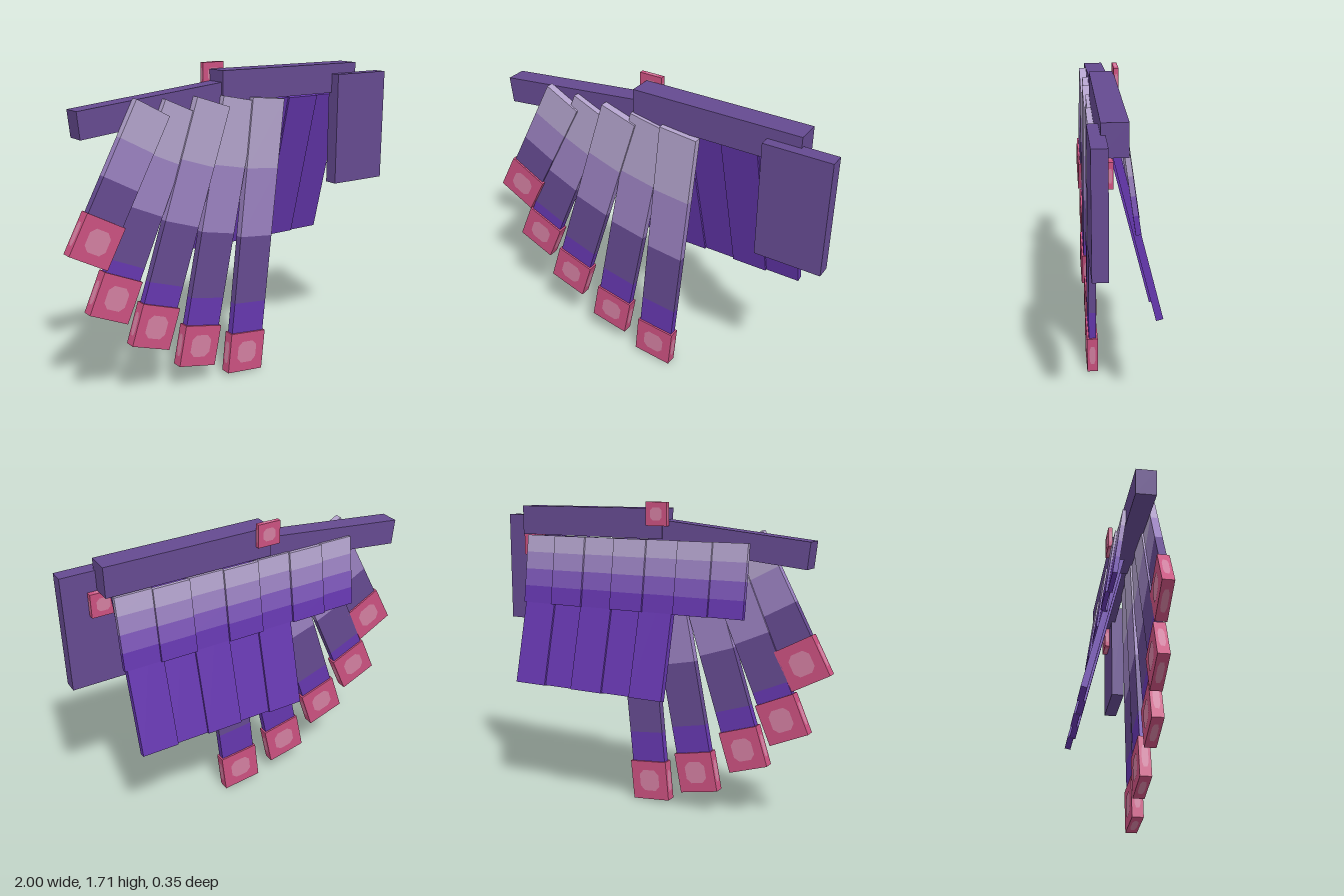
import * as THREE from 'three';

const mat = (name, color, extra = {}) => {
  const m = new THREE.MeshStandardMaterial({ color, ...extra });
  m.name = name;
  return m;
};

export function createModel() {
  const root = new THREE.Group();
  root.name = 'wing';
  const lilac = mat('pale lilac', 0xb2a2cb);
  const lavender = mat('lavender', 0x9a81c0);
  const plum = mat('plum', 0x654a90);
  const mid = mat('mid violet', 0x7d57b8);
  const violet = mat('violet', 0x6537ae);
  const pink = mat('pink', 0xcb5180);
  const rose = mat('pale rose', 0xd27fa0);

  const box = (parent, name, material, size, pos) => {
    const mesh = new THREE.Mesh(new THREE.BoxGeometry(...size), material);
    mesh.name = name;
    mesh.position.set(...pos);
    parent.add(mesh);
    return mesh;
  };

  // Unit octagon used as the pale patch on pink blocks
  const patchShape = new THREE.Shape(
    [[-0.5, -0.28], [-0.28, -0.5], [0.28, -0.5], [0.5, -0.28], [0.5, 0.28], [0.28, 0.5], [-0.28, 0.5], [-0.5, 0.28]]
      .map(([x, y]) => new THREE.Vector2(x, y)));
  const patchGeo = new THREE.ShapeGeometry(patchShape);

  // Pink block with a pale patch on every face
  const gem = (parent, name, [w, h, d], pos) => {
    const g = new THREE.Group();
    g.name = name;
    g.position.set(...pos);
    parent.add(g);
    box(g, name + 'Block', pink, [w, h, d], [0, 0, 0]);
    const e = 0.0015, q = Math.PI / 2;
    [
      [w, h, [0, 0, d / 2 + e], [0, 0, 0]],
      [w, h, [0, 0, -d / 2 - e], [0, 2 * q, 0]],
      [d, h, [w / 2 + e, 0, 0], [0, q, 0]],
      [d, h, [-w / 2 - e, 0, 0], [0, -q, 0]],
      [w, d, [0, h / 2 + e, 0], [-q, 0, 0]],
      [w, d, [0, -h / 2 - e, 0], [q, 0, 0]],
    ].forEach(([a, b, p, r]) => {
      const patch = new THREE.Mesh(patchGeo, rose);
      patch.name = name + 'Patch';
      patch.scale.set(a * 0.54, b * 0.54, 1);
      patch.position.set(...p);
      patch.rotation.set(...r);
      g.add(patch);
    });
  };

  // Hanging strip of equal colour bands, pivoted at its top centre
  const feather = (name, colors, width, length, depth, pos) => {
    const g = new THREE.Group();
    g.name = name;
    g.position.set(...pos);
    const step = length / colors.length;
    colors.forEach((c, i) =>
      box(g, name + 'Band', c, [width, step, depth], [0, -(i + 0.5) * step, 0]));
    root.add(g);
    return g;
  };

  // Wing bones and shoulder plate
  box(root, 'upperArm', plum, [0.91, 0.16, 0.125], [0.365, 1.6, 0.058]);
  box(root, 'forearm', plum, [0.9, 0.137, 0.105], [-0.452, 1.513, 0.056]).rotation.z = 0.105;
  box(root, 'shoulderPlate', plum, [0.352, 0.615, 0.075], [0.823, 1.317, 0.136]);
  gem(root, 'elbowGem', [0.128, 0.125, 0.025], [-0.066, 1.652, -0.0145]);
  gem(root, 'shoulderGem', [0.128, 0.125, 0.03], [0.806, 1.457, 0.083]);

  // Fanned main feathers: top x, top y, length, tilt in degrees
  [
    [-0.518, 1.527, 0.814, 28],
    [-0.348, 1.52, 1.118, 23.6],
    [-0.165, 1.53, 1.3, 18],
    [0.005, 1.535, 1.445, 11.3],
    [0.185, 1.525, 1.518, 5.8],
  ].forEach(([x, y, length, tilt], i) => {
    const f = feather('mainFeather', [lilac, lavender, plum, violet], 0.208, length * 0.985, 0.04,
      [x, y, i % 2 ? 0.12 : 0.13]);
    gem(f, 'featherTip', [0.227, 0.225, 0.06], [0, -length + 0.1125, 0]);
    f.rotation.z = -THREE.MathUtils.degToRad(tilt);
  });

  // Long rear feathers
  for (let i = 0; i < 5; i++) {
    const f = feather('longRearFeather', [violet], 0.198, 0.855, 0.036,
      [0.67 - i * 0.188, 1.51, i % 2 ? 0.058 : 0.046]);
    f.rotation.x = THREE.MathUtils.degToRad(14);
  }

  // Short banded covert feathers over the long ones
  for (let i = 0; i < 7; i++) {
    const f = feather('covertFeather', [lilac, lavender, mid, violet], 0.2, 0.385, 0.026,
      [0.682 - i * 0.195, 1.515, i % 2 ? -0.012 : 0]);
    f.rotation.x = THREE.MathUtils.degToRad(8);
  }
  return root;
}
